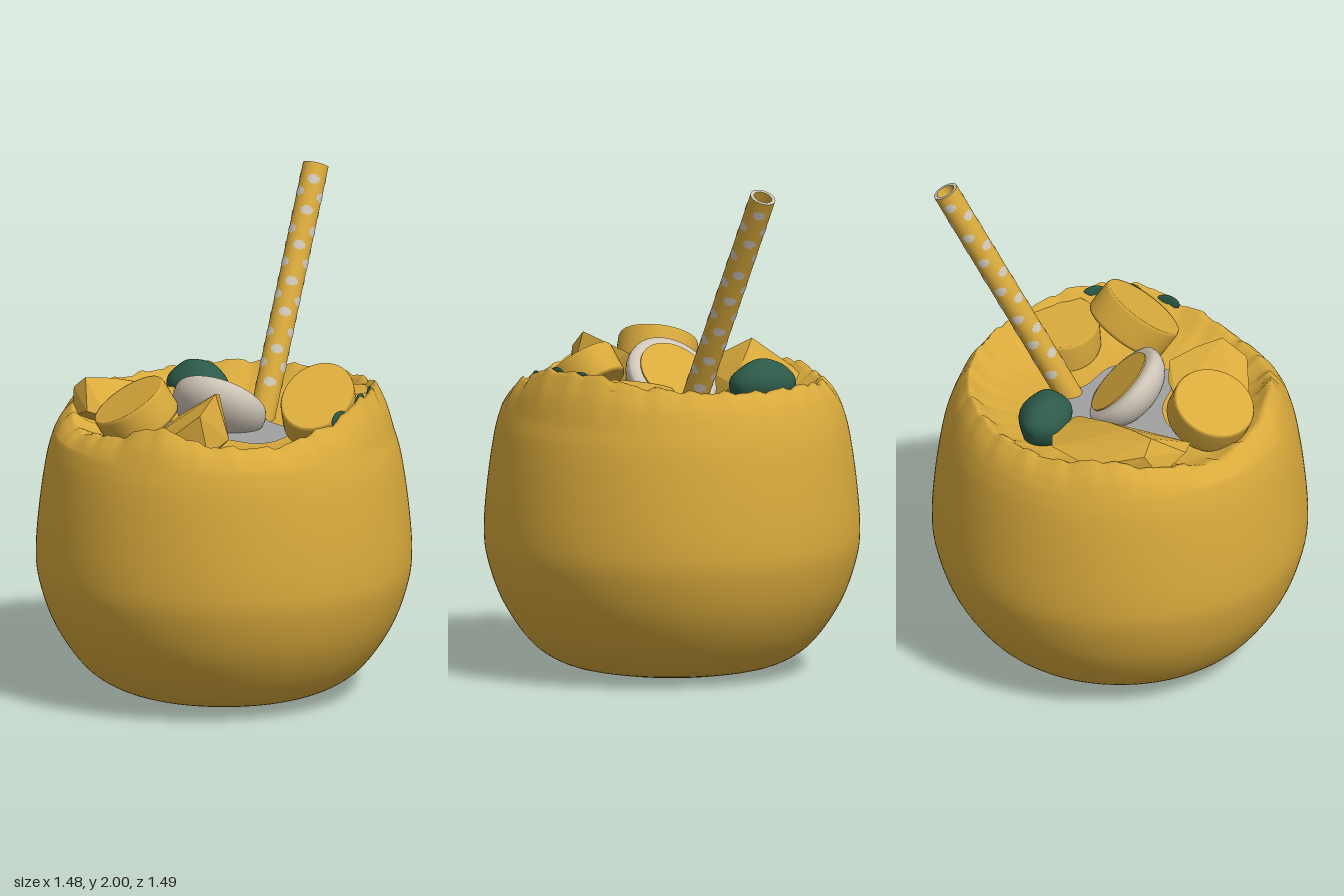
import * as THREE from 'three';
import { ConvexGeometry } from 'three/addons/geometries/ConvexGeometry.js';

const mat = (name, color, side = THREE.FrontSide) => {
  const m = new THREE.MeshStandardMaterial({ color, side });
  m.name = name;
  return m;
};
const V = (x, y, z) => new THREE.Vector3(x, y, z);
const UP = V(0, 1, 0);

// Rim heights every 22.5 degrees, from the front towards +x
const RIM = [1.2, 1.14, 1.13, 1.18, 1.25, 1.25, 1.21, 1.19, 1.18, 1.18, 1.16, 1.15, 1.18, 1.14, 1.1, 1.13];
function rimHeight(angle) {
  const n = RIM.length;
  const t = ((angle / (Math.PI * 2)) * n + n) % n;
  const i = Math.floor(t);
  const k = (1 - Math.cos((t - i) * Math.PI)) / 2;
  return THREE.MathUtils.lerp(RIM[i % n], RIM[(i + 1) % n], k) + 0.006 * Math.sin(angle * 29) + 0.004 * Math.sin(angle * 53);
}

export function createModel() {
  const model = new THREE.Group();
  const yellow = mat('golden yellow', 0xd9aa3c, THREE.DoubleSide);
  const cream = mat('cream white', 0xcfc6b8, THREE.DoubleSide);
  const grey = mat('cool grey', 0xa2a1a1, THREE.DoubleSide);
  const green = mat('dark green', 0x2c5a49, THREE.DoubleSide);

  const add = (name, geometry, material, parent = model) => {
    const mesh = new THREE.Mesh(geometry, material);
    mesh.name = name;
    parent.add(mesh);
    return mesh;
  };

  // Rounded bowl and its filling, with everything above 1.05 following the wavy rim
  const outer = new THREE.SplineCurve([
    [0.3, 0.008], [0.44, 0.04], [0.56, 0.12], [0.67, 0.28], [0.73, 0.45], [0.742, 0.58],
    [0.727, 0.77], [0.7, 0.95], [0.672, 1.05], [0.642, 1.13], [0.605, 1.19],
  ].map(p => new THREE.Vector2(...p))).getPoints(50);
  const inner = [[0.595, 1.2], [0.575, 1.18], [0.54, 1.135], [0.49, 1.1], [0.4, 1.07], [0.25, 1.055], [0, 1.05]]
    .map(p => new THREE.Vector2(...p));
  const bowlGeometry = new THREE.LatheGeometry([new THREE.Vector2(0, 0), ...outer, ...inner], 160);
  const pos = bowlGeometry.attributes.position;
  for (let i = 0; i < pos.count; i++) {
    const y = pos.getY(i);
    if (y <= 1.05) continue;
    const rim = rimHeight(Math.atan2(pos.getX(i), pos.getZ(i)));
    pos.setY(i, 1.05 + ((y - 1.05) * (rim - 1.05)) / 0.15);
  }
  bowlGeometry.computeVertexNormals();
  add('bowl', bowlGeometry, yellow);

  // Irregular pale pool on the filling; shape y becomes -z
  const pool = new THREE.Shape();
  pool.setFromPoints(new THREE.SplineCurve([
    [-0.18, 0.27], [-0.05, 0.3], [0.06, 0.25], [0.12, 0.15], [0.27, 0.06], [0.29, -0.1], [0.24, -0.19],
    [0.13, -0.19], [0, -0.17], [-0.12, -0.2], [-0.22, -0.27], [-0.33, -0.25], [-0.3, -0.1], [-0.2, 0.08], [-0.18, 0.27],
  ].map(p => new THREE.Vector2(...p))).getPoints(70));
  const poolMesh = add('creamPool', new THREE.ShapeGeometry(pool), grey);
  poolMesh.rotation.x = -Math.PI / 2;
  poolMesh.position.y = 1.068;

  // Halved round fruit with a yellow core, facing up and back
  const half = new THREE.Group();
  half.name = 'halvedFruit';
  const dome = [];
  for (let i = 0; i <= 14; i++) {
    const a = (i / 14) * Math.PI * 0.56;
    dome.push(new THREE.Vector2(0.19 * Math.sin(a), -0.12 * Math.cos(a)));
  }
  dome.push(new THREE.Vector2(0.165, 0.032), new THREE.Vector2(0.13, 0.03), new THREE.Vector2(0, 0.03));
  add('fruitFlesh', new THREE.LatheGeometry(dome, 40), cream, half);
  add('fruitCore', new THREE.CylinderGeometry(0.148, 0.148, 0.008, 36), yellow, half).position.y = 0.033;
  half.quaternion.setFromUnitVectors(UP, V(0, 0.7, -0.7).normalize());
  half.position.set(-0.01, 1.155, 0.02);
  model.add(half);

  // Tilted round fruit chunks with softened rims
  const chunk = (name, center, normal, rx, rz, h) => {
    const profile = [[0, -h / 2], [0.96, -h / 2], [1, -h / 2 + 0.015], [1, h / 2 - 0.012], [0.97, h / 2], [0.94, h / 2], [0, h / 2]]
      .map(p => new THREE.Vector2(...p));
    const mesh = add(name, new THREE.LatheGeometry(profile, 48), yellow);
    mesh.scale.set(rx, 1, rz);
    mesh.quaternion.setFromUnitVectors(UP, V(...normal).normalize());
    mesh.position.set(...center);
  };
  chunk('frontChunk', [-0.2, 1.19, 0.38], [-0.38, 0.82, 0.3], 0.155, 0.165, 0.13);
  chunk('sideChunk', [0.42, 1.2, 0.01], [0.15, 0.78, 0.55], 0.14, 0.175, 0.13);
  chunk('backChunk', [0.38, 1.13, -0.26], [-0.1, 0.95, -0.05], 0.17, 0.14, 0.13);

  // Sharp-edged fruit wedges
  const wedge = (name, points) => add(name, new ConvexGeometry(points.map(p => V(...p))), yellow);
  wedge('largeWedge', [
    [-0.59, 1.12, 0.08], [-0.58, 1.14, -0.06], [-0.45, 1.14, -0.22], [-0.27, 1.13, -0.24],
    [-0.2, 1.13, -0.14], [-0.34, 1.2, -0.01], [-0.44, 1.235, 0.09], [-0.52, 1.25, 0.18], [-0.58, 1.2, 0.16],
    [-0.36, 1.14, 0.32], [-0.45, 1.15, 0.31], [-0.56, 1.1, 0.22], [-0.29, 1.06, 0.18], [-0.2, 1.05, 0], [-0.45, 1.02, 0],
  ]);
  wedge('frontWedge', [
    [-0.08, 1.16, 0.23], [0, 1.19, 0.19], [0.07, 1.24, 0.19], [0.12, 1.28, 0.29], [0.15, 1.31, 0.39],
    [0.13, 1.24, 0.49], [0.02, 1.15, 0.51], [-0.08, 1.13, 0.46], [0.21, 1.13, 0.39], [0.16, 1.08, 0.48], [0.08, 1.03, 0.22], [-0.06, 1.03, 0.35],
  ]);

  // Dark berry with a slightly lumpy skin
  const berryGeometry = new THREE.SphereGeometry(1, 36, 24);
  const bp = berryGeometry.attributes.position;
  for (let i = 0; i < bp.count; i++) {
    const v = V(0, 0, 0).fromBufferAttribute(bp, i);
    v.multiplyScalar(1 + 0.025 * Math.sin(5 * v.x + 2) * Math.sin(6 * v.z) + 0.02 * Math.sin(7 * v.y));
    bp.setXYZ(i, v.x, v.y, v.z);
  }
  berryGeometry.computeVertexNormals();
  const berry = add('berry', berryGeometry, green);
  berry.scale.set(0.135, 0.105, 0.1);
  berry.rotation.y = -0.25;
  berry.position.set(-0.245, 1.14, -0.27);

  // Small leaf scraps on the inside of the rim
  [[1.62, 1.225], [1.85, 1.22], [1.35, 1.19]].forEach(([a, y]) => {
    const leaf = add('leafScrap', new THREE.SphereGeometry(1, 12, 8), green);
    leaf.scale.set(0.05, 0.035, 0.008);
    leaf.rotation.y = a;
    leaf.position.set(0.58 * Math.sin(a), y, 0.58 * Math.cos(a));
  });

  // Hollow leaning straw with staggered pale patches
  const straw = new THREE.Group();
  straw.name = 'straw';
  const R = 0.051, L = 1.06;
  add('strawTube', new THREE.CylinderGeometry(R, R, L, 32, 1, true), yellow, straw).position.y = L / 2;
  add('strawLining', new THREE.CylinderGeometry(R - 0.014, R - 0.014, L, 32, 1, true), yellow, straw).position.y = L / 2;
  const lip = add('strawLip', new THREE.RingGeometry(R - 0.014, R, 32), cream, straw);
  lip.rotation.x = -Math.PI / 2;
  lip.position.y = L;
  for (let i = 0; i < 13; i++) {
    for (let j = 0; j < 3; j++) {
      const start = j * 2.09 + i * 1.05;
      const y = 0.16 + i * 0.07 + 0.008 * Math.sin(i * 3 + j * 2);
      [[0, 0.95, 0.022], [0.18, 0.55, 0.036]].forEach(([offset, arc, h]) => {
        const patch = new THREE.CylinderGeometry(R + 0.0015, R + 0.0015, h, 8, 1, true, start + offset, arc);
        add('strawPatch', patch, cream, straw).position.y = y;
      });
    }
  }
  const foot = V(0.065, 1.04, -0.2), tip = V(0.065, 1.975, -0.7);
  straw.position.copy(foot);
  straw.quaternion.setFromUnitVectors(UP, tip.sub(foot).normalize());
  model.add(straw);

  return model;
}
